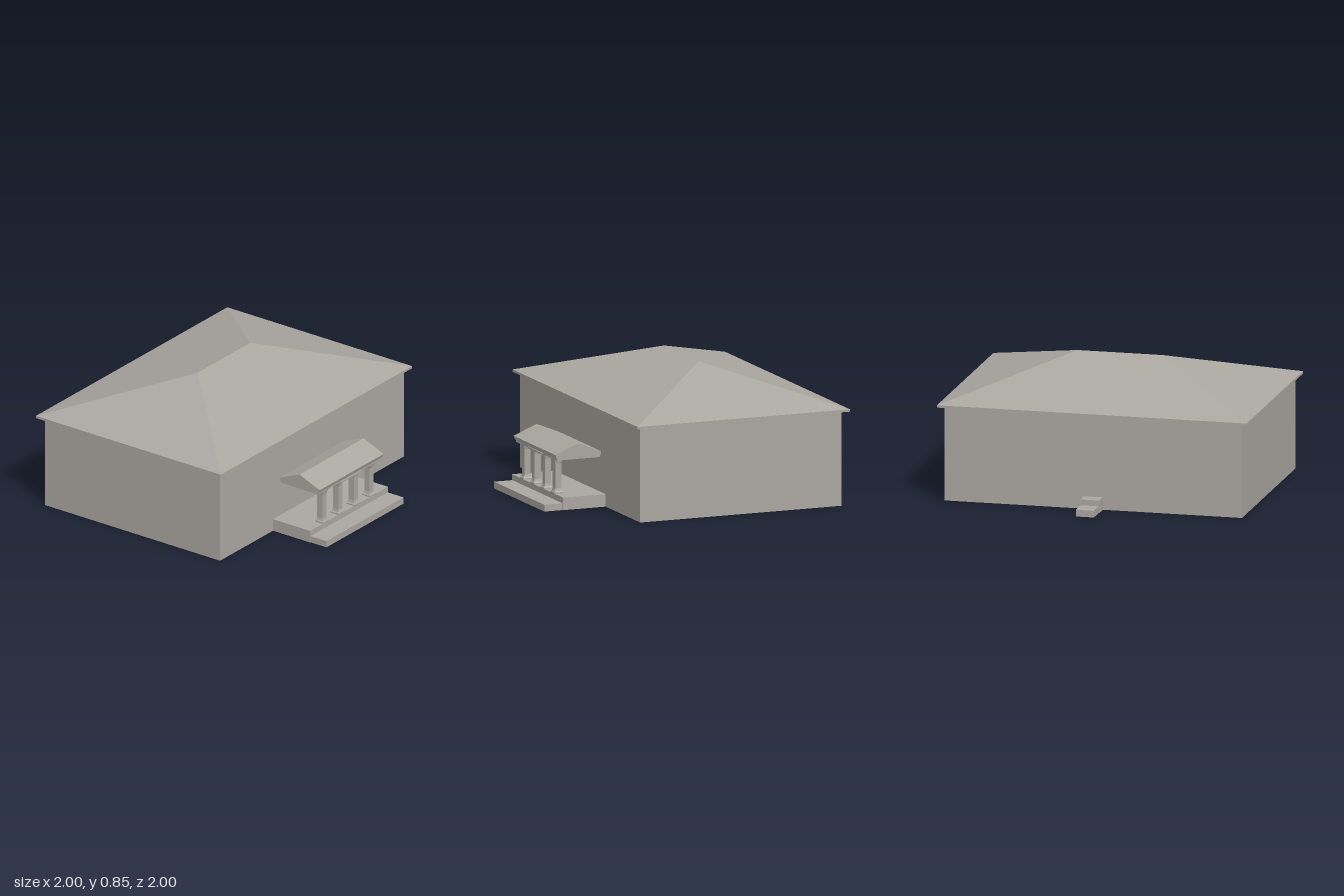
import * as THREE from 'three';

export function createModel() {
  const model = new THREE.Group();
  const stone = new THREE.MeshStandardMaterial({ color: 0xaaa6a0, side: THREE.DoubleSide, flatShading: true });
  stone.name = 'warm grey stone';

  const add = (name, geometry, x = 0, y = 0, z = 0) => {
    const mesh = new THREE.Mesh(geometry, stone);
    mesh.name = name;
    mesh.position.set(x, y, z);
    model.add(mesh);
    return mesh;
  };

  // Surface from a list of polygons, each fanned into triangles
  const faces = (polygons) => {
    const points = [];
    for (const p of polygons) {
      for (let i = 1; i < p.length - 1; i++) points.push(...p[0], ...p[i], ...p[i + 1]);
    }
    const g = new THREE.BufferGeometry();
    g.setAttribute('position', new THREE.Float32BufferAttribute(points, 3));
    g.computeVertexNormals();
    return g;
  };

  // Rectangle corners at one height, anticlockwise seen from above
  const ring = (x, y, zBack, zFront) => [[-x, y, zFront], [x, y, zFront], [x, y, zBack], [-x, y, zBack]];
  // Quads joining a lower ring to an upper one
  const band = (a, b) => a.map((p, i) => [p, a[(i + 1) % 4], b[(i + 1) % 4], b[i]]);

  // Hollow house, notched where the stairs run through the wall
  const W = 0.96, H = 0.605, zF = 0.585, zB = -0.785;
  const notchedWall = (n) => new THREE.ShapeGeometry(new THREE.Shape(
    [[-W, 0], [-n, 0], [-n, 0.08], [n, 0.08], [n, 0], [W, 0], [W, H], [-W, H]].map((p) => new THREE.Vector2(...p))));
  add('frontWall', notchedWall(0.407), 0, 0, zF);
  add('backWall', notchedWall(0.062), 0, 0, zB).rotation.y = Math.PI;
  for (const s of [1, -1]) {
    add(s > 0 ? 'leftWall' : 'rightWall', new THREE.PlaneGeometry(zF - zB, H), s * W, H / 2, (zF + zB) / 2)
      .rotation.y = s * Math.PI / 2;
  }

  // Hip roof with fascia and soffit, open to the inside
  const eave = ring(1, 0.62, -0.826, 0.62);
  const lower = ring(1, H, -0.826, 0.62);
  const [fl, fr, br, bl] = eave;
  const ridgeL = [-0.275, 0.85, -0.103], ridgeR = [0.275, 0.85, -0.103];
  add('hipRoof', faces([
    [fl, fr, ridgeR, ridgeL], [fr, br, ridgeR], [br, bl, ridgeL, ridgeR], [bl, fl, ridgeL]]));
  add('fascia', faces(band(lower, eave)));
  add('soffit', faces(band(ring(W, H, zB, zF), lower)));

  // Steps without undersides
  const step = (name, halfWidth, height, z0, z1) => {
    const top = ring(halfWidth, height, z0, z1);
    add(name, faces([top, ...band(ring(halfWidth, 0, z0, z1), top).filter((q, i) => i !== (z1 > 0 ? 2 : 0))]));
  };
  step('porchFloor', 0.407, 0.08, zF, 0.875);
  step('porchStep', 0.403, 0.043, 0.875, 1);
  step('backLanding', 0.062, 0.08, -0.875, zB);
  step('backStep', 0.058, 0.043, -1, -0.875);

  // Square columns with flared base and capital
  const profile = [[0.031, 0.08], [0.031, 0.088], [0.025, 0.096], [0.021, 0.112],
    [0.021, 0.27], [0.025, 0.29], [0.03, 0.303]]
    .map(([half, y]) => new THREE.Vector2(half * Math.SQRT2, y));
  for (const x of [-0.246, -0.082, 0.082, 0.246]) {
    add('column', new THREE.LatheGeometry(profile, 4, Math.PI / 4), x, 0, 0.847);
  }

  // Porch roof: gable profile in (z, y), extruded along x
  const gable = new THREE.Shape([[0.582, 0.34], [0.592, 0.315], [0.886, 0.315], [0.896, 0.34], [0.739, 0.404]]
    .map(([z, y]) => new THREE.Vector2(-z, y)));
  const porchRoof = new THREE.ExtrudeGeometry(gable, { depth: 0.67, bevelEnabled: false });
  porchRoof.translate(0, 0, -0.335).rotateY(Math.PI / 2);
  add('porchRoof', porchRoof);
  add('porchBeam', new THREE.BoxGeometry(0.65, 0.013, 0.295), 0, 0.3085, 0.7345);
  add('signPlate', new THREE.BoxGeometry(0.22, 0.01, 0.006), 0, 0.308, 0.892);

  return model;
}
